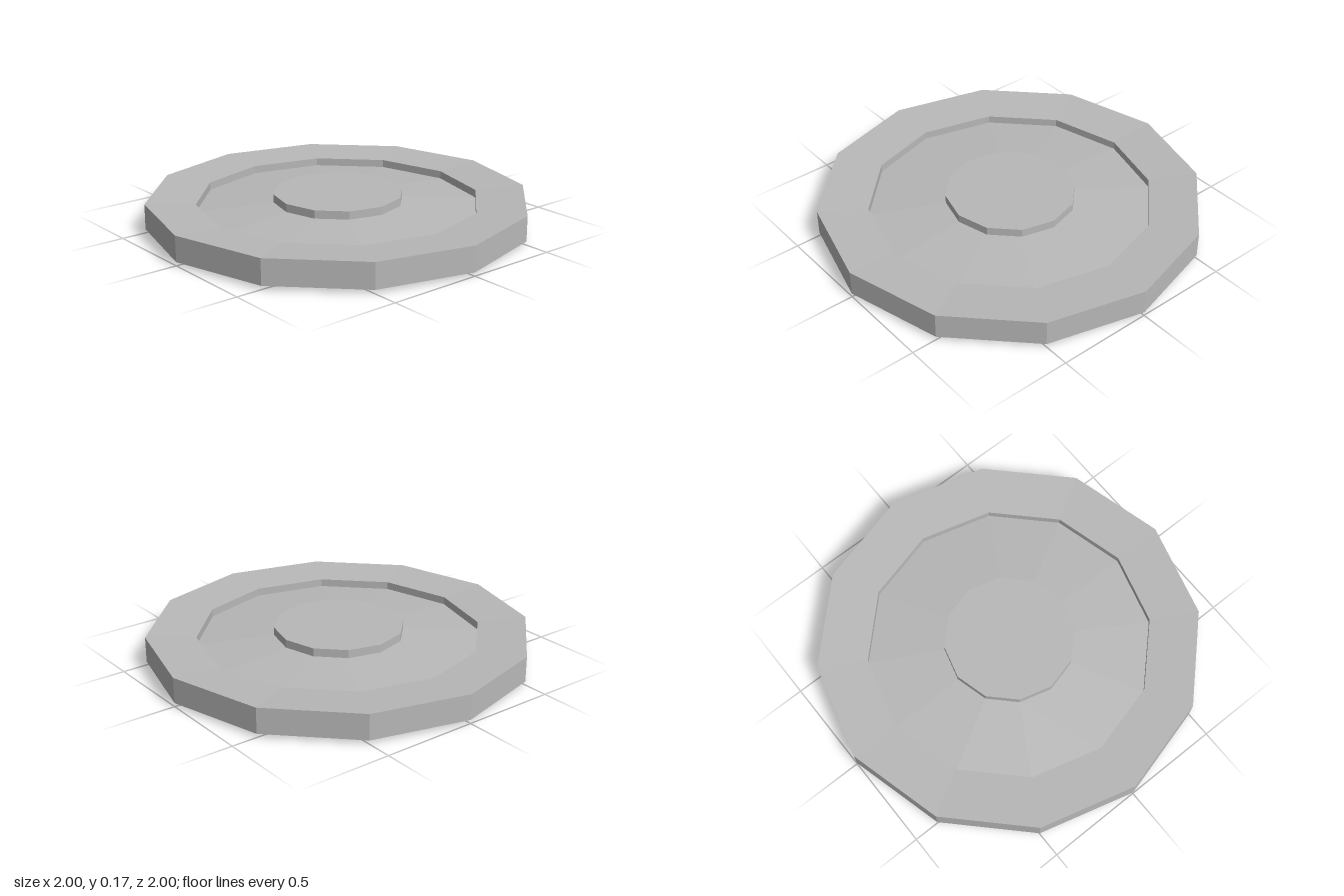
import * as THREE from 'three';

const SIDES = 12;
const MID = 0.086; // height of the disc's middle plane

export function createModel() {
  const model = new THREE.Group();
  model.name = 'disc';

  const grey = new THREE.MeshStandardMaterial({ color: 0xb8b8b8, flatShading: true });
  grey.name = 'grey';

  // Lathes a profile of [radius, height from the middle plane], listed bottom to top
  const addRing = (name, profile) => {
    const points = profile.map(([r, y]) => new THREE.Vector2(r, y));
    const mesh = new THREE.Mesh(new THREE.LatheGeometry(points, SIDES), grey);
    mesh.name = name;
    mesh.position.y = MID;
    model.add(mesh);
  };

  // Outer rim: faces dip slightly inward, then step down to the web
  addRing('rim', [
    [0.74, -0.011], [0.74, -0.052], [1, -0.067],
    [1, 0.067], [0.74, 0.052], [0.74, 0.011],
  ]);

  // Recessed web: rises gently toward the hub on both sides
  addRing('webBottom', [[0.34, -0.043], [0.74, -0.011]]);
  addRing('webTop', [[0.74, 0.011], [0.34, 0.043]]);

  // Raised central hub
  const hub = new THREE.Mesh(new THREE.CylinderGeometry(0.34, 0.34, 0.172, SIDES), grey);
  hub.name = 'hub';
  hub.position.y = MID;
  model.add(hub);

  return model;
}
